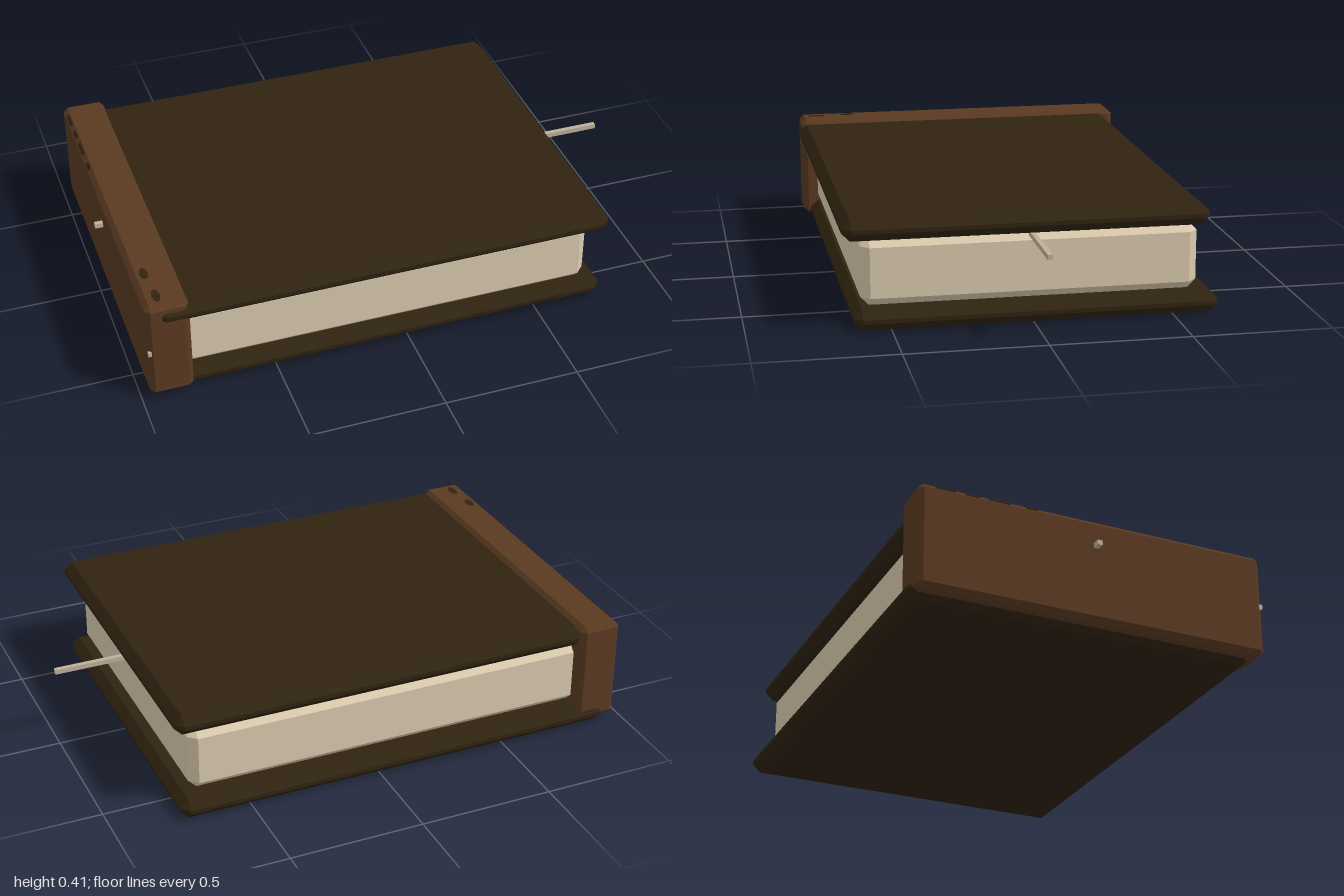
import * as THREE from 'three';
import { ConvexGeometry } from 'three/addons/geometries/ConvexGeometry.js';

// Box with every edge chamfered by b, given by its minimum and maximum corners
function chamferBox(min, max, b) {
  const c = min.map((v, i) => (v + max[i]) / 2);
  const h = min.map((v, i) => (max[i] - v) / 2);
  const points = [];
  for (let axis = 0; axis < 3; axis++)
    for (const sx of [-1, 1]) for (const sy of [-1, 1]) for (const sz of [-1, 1]) {
      const p = [sx, sy, sz].map((s, i) => c[i] + s * (h[i] - (i === axis ? 0 : b)));
      points.push(new THREE.Vector3(...p));
    }
  return new ConvexGeometry(points);
}

export function createModel() {
  const book = new THREE.Group();
  book.name = 'book';

  const material = (name, color) => {
    const m = new THREE.MeshStandardMaterial({ color });
    m.name = name;
    return m;
  };
  const darkLeather = material('darkLeather', 0x302310);
  const brownLeather = material('brownLeather', 0x5a3a22);
  const paper = material('paper', 0xdacaae);
  const ribbon = material('ribbon', 0xbfb19a);

  const add = (name, geometry, mat) => {
    const mesh = new THREE.Mesh(geometry, mat);
    mesh.name = name;
    book.add(mesh);
    return mesh;
  };

  // Covers, slightly shifted against each other
  add('topCover', chamferBox([-0.93, 0.32, -0.63], [0.76, 0.395, 0.668], 0.03), darkLeather);
  add('bottomCover', chamferBox([-0.93, 0, -0.668], [0.76, 0.075, 0.63], 0.03), darkLeather);

  // Spine and page block
  add('spine', chamferBox([-0.97, 0.02, -0.657], [-0.812, 0.41, 0.657], 0.018), brownLeather);
  add('pages', chamferBox([-0.87, 0.072, -0.6], [0.705, 0.318, 0.6], 0.032), paper);

  // Thin bookmark running through the whole book
  add('bookmark', new THREE.BoxGeometry(2, 0.018, 0.018), ribbon).position.set(0, 0.308, 0);
  add('spineStud', new THREE.BoxGeometry(0.012, 0.018, 0.012), ribbon).position.set(-0.963, 0.21, 0.65);

  // Worn patches along the upper edge of the spine: z, length
  for (const [z, length] of [[-0.56, 0.07], [-0.46, 0.05], [-0.36, 0.08], [-0.24, 0.04]]) {
    const patch = add('edgeWear', new THREE.BoxGeometry(0.014, 0.004, length), darkLeather);
    patch.position.set(-0.961, 0.401, z);
    patch.rotation.z = Math.PI / 4;
  }
  // Worn spots on top of the spine: x, z, half length
  for (const [x, z, r] of [[-0.925, 0.46, 0.032], [-0.915, 0.59, 0.035]]) {
    const spot = add('topWear', new THREE.CylinderGeometry(1, 1, 0.002, 8), darkLeather);
    spot.scale.set(0.015, 1, r);
    spot.position.set(x, 0.4105, z);
  }
  return book;
}
